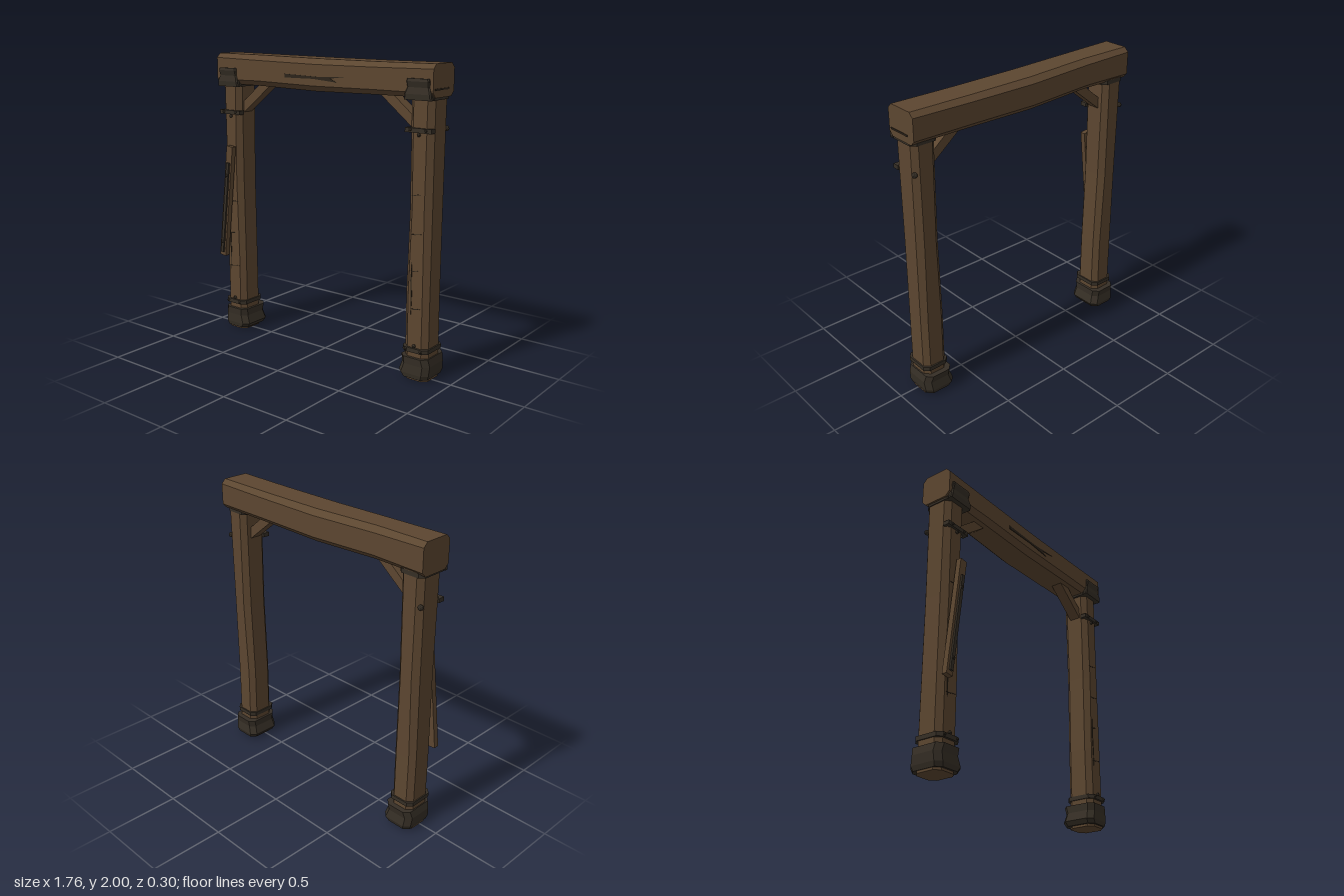
import * as THREE from 'three';

const material = (name, color) => {
  const m = new THREE.MeshStandardMaterial({ color, flatShading: true });
  m.name = name;
  return m;
};

// Chamfered rectangle, counter-clockwise in (u, v)
function octagon(u0, u1, v0, v1, c) {
  return [[u1, v0 + c], [u1, v1 - c], [u1 - c, v1], [u0 + c, v1],
    [u0, v1 - c], [u0, v0 + c], [u0 + c, v0], [u1 - c, v0]];
}
// Rings lying across the y axis or across the x axis
const ringY = (y, x0, x1, z0, z1, c) => octagon(z0, z1, x0, x1, c).map(([z, x]) => [x, y, z]);
const ringX = (x, y0, y1, z0, z1, c) => octagon(y0, y1, z0, z1, c).map(([y, z]) => [x, y, z]);

// Skin a stack of rings and close both ends
function loft(rings) {
  const p = [], n = rings[0].length, last = rings[rings.length - 1];
  for (let i = 0; i < rings.length - 1; i++) {
    for (let j = 0; j < n; j++) {
      const k = (j + 1) % n;
      const a = rings[i][j], b = rings[i][k], c = rings[i + 1][k], d = rings[i + 1][j];
      p.push(...a, ...b, ...c, ...a, ...c, ...d);
    }
  }
  for (let j = 1; j < n - 1; j++) {
    p.push(...last[0], ...last[j], ...last[j + 1]);
    p.push(...rings[0][0], ...rings[0][j + 1], ...rings[0][j]);
  }
  const g = new THREE.BufferGeometry();
  g.setAttribute('position', new THREE.Float32BufferAttribute(p, 3));
  g.computeVertexNormals();
  return g;
}

// Flat outline given thickness from z0
function plate(points, z0, depth) {
  const shape = new THREE.Shape(points.map(([x, y]) => new THREE.Vector2(x, y)));
  return new THREE.ExtrudeGeometry(shape, { depth, bevelEnabled: false }).translate(0, 0, z0);
}

export function createModel() {
  const wood = material('wood', 0x5c4630);
  const iron = material('darkIron', 0x352e25);
  const crackMat = material('woodCrack', 0x2c241a);
  const root = new THREE.Group();
  root.name = 'timberGateway';

  const add = (parent, name, geometry, mat) => {
    const mesh = new THREE.Mesh(geometry, mat);
    mesh.name = name;
    parent.add(mesh);
    return mesh;
  };
  const box = (parent, name, mat, x0, x1, y0, y1, z0, z1) => add(parent, name,
    new THREE.BoxGeometry(x1 - x0, y1 - y0, z1 - z0)
      .translate((x0 + x1) / 2, (y0 + y1) / 2, (z0 + z1) / 2), mat);
  const peg = (parent, x, y, z, r = 0.012) =>
    add(parent, 'peg', new THREE.IcosahedronGeometry(r, 1).translate(x, y, z), iron);
  // Tapered sliver with a kink in the middle
  const crack = (parent, x0, y0, x1, y1, w, z = 0.08) => {
    const dx = x1 - x0, dy = y1 - y0, l = Math.hypot(dx, dy);
    const nx = -dy / l * w, ny = dx / l * w;
    const at = (t, s) => [x0 + dx * t + nx * s, y0 + dy * t + ny * s];
    add(parent, 'crack', plate([at(0, 0), at(0.35, -0.9), at(0.65, -0.1), at(1, 0.4),
      at(0.65, 0.8), at(0.35, 0.2)], z - 0.001, 0.004), crackMat);
  };

  // Top beam, slightly bowed
  add(root, 'topBeam', loft([
    ringX(-0.88, 1.79, 2.0, -0.13, 0.1, 0.03),
    ringX(-0.5, 1.79, 1.997, -0.126, 0.1, 0.035),
    ringX(-0.02, 1.78, 1.99, -0.148, 0.1, 0.036),
    ringX(0.45, 1.787, 1.988, -0.144, 0.1, 0.033),
    ringX(0.875, 1.79, 1.99, -0.14, 0.1, 0.03),
  ]), wood);
  add(root, 'beamCrack', plate([[-0.26, 1.884], [0.02, 1.876], [0.25, 1.887], [0.12, 1.87],
    [0.17, 1.847], [-0.02, 1.862], [-0.26, 1.86]], 0.099, 0.004), crackMat);
  box(root, 'beamEndCrack', crackMat, 0.87, 0.879, 1.834, 1.845, -0.08, 0.08);

  for (const s of [-1, 1]) {
    const side = new THREE.Group();
    side.name = s < 0 ? 'rightPostAssembly' : 'leftPostAssembly';
    root.add(side);
    const cx = s * 0.775;
    const bow = s < 0 ? -0.005 : 0.005;

    // Chamfered post
    add(side, 'post', loft([
      ringY(0, cx - 0.085, cx + 0.085, -0.11, 0.08, 0.035),
      ringY(0.55, cx - 0.088, cx + 0.084, -0.106, 0.08, 0.034),
      ringY(1.1, cx - 0.08 + bow, cx + 0.08 + bow, -0.112, 0.08, 0.037),
      ringY(1.82, cx - 0.083 + bow, cx + 0.083 + bow, -0.115, 0.08, 0.034),
    ]), wood);

    // Flared shoe, pinched near the top
    const shoe = (y, inner, outer, z0, z1) =>
      ringY(y, s < 0 ? -outer : inner, s < 0 ? -inner : outer, z0, z1, 0.035);
    add(side, 'shoe', loft([
      shoe(0.015, 0.675, 0.865, -0.135, 0.095),
      shoe(0.045, 0.655, 0.875, -0.145, 0.1),
      shoe(0.105, 0.675, 0.88, -0.135, 0.095),
      shoe(0.155, 0.672, 0.868, -0.145, 0.1),
    ]), iron);

    // Lower strap all round, upper strap with short returns
    add(side, 'lowerStrap', loft([0.19, 0.218].map((y) =>
      ringY(y, cx - 0.094, cx + 0.094, -0.118, 0.096, 0.03))), iron);
    box(side, 'upperStrap', iron, cx - 0.093, cx + 0.093, 1.58, 1.608, 0.07, 0.096);
    for (const t of [-1, 1]) {
      const x = cx + t * 0.084;
      box(side, 'strapReturn', iron, x - 0.009, x + 0.009, 1.58, 1.608, 0.05, 0.075);
      peg(side, cx + t * 0.055, 1.597, 0.096, 0.01);
      peg(side, cx + t * 0.055, 0.206, 0.096, 0.01);
    }
    peg(side, cx, 1.567, 0.085);
    peg(side, cx, 0.23, 0.085);
    peg(side, cx + s * 0.08, 1.595, -0.098, 0.018);

    // Collar below the beam and shaped plate on its face
    add(side, 'collar', loft([1.775, 1.803].map((y) =>
      ringY(y, cx - 0.094, cx + 0.094, -0.115, 0.105, 0.03))), iron);
    const cap = (y, w, z) => ringY(y, cx - w, cx + w, 0.08, z, 0.008);
    add(side, 'capPlate', loft([cap(1.775, 0.096, 0.112), cap(1.81, 0.092, 0.116),
      cap(1.85, 0.078, 0.107), cap(1.885, 0.08, 0.117), cap(1.902, 0.076, 0.112)]), iron);

    // Corner brace
    add(side, 'brace', plate([[0.72, 1.578], [0.44, 1.8], [0.54, 1.8], [0.72, 1.655]]
      .map(([x, y]) => [s * x, y]), -0.05, 0.08), wood);

    // Weathering cracks
    for (const [i, y] of [1.2, 0.955, 0.72, 0.475].entries()) {
      const shift = i % 2 ? 0.01 : -0.01;
      crack(side, cx - 0.045, y - 0.004, cx + 0.035 + shift, y + 0.002, 0.005);
    }
    crack(side, cx - 0.03, 0.78, cx - 0.034, 0.43, 0.008);
  }

  // Leaning plank with a batten nailed to its face
  const lean = (name, mat, w, h, d, x, y, z) => {
    const m = add(root, name, new THREE.BoxGeometry(w, h, d), mat);
    m.position.set(x, y, z);
    m.rotation.z = -0.114;
  };
  lean('plank', wood, 0.055, 0.81, 0.036, -0.799, 0.955, 0.112);
  lean('batten', iron, 0.024, 0.665, 0.014, -0.802, 0.91, 0.136);
  peg(root, -0.775, 1.15, 0.142, 0.011);
  peg(root, -0.83, 0.66, 0.142, 0.011);

  return root;
}
